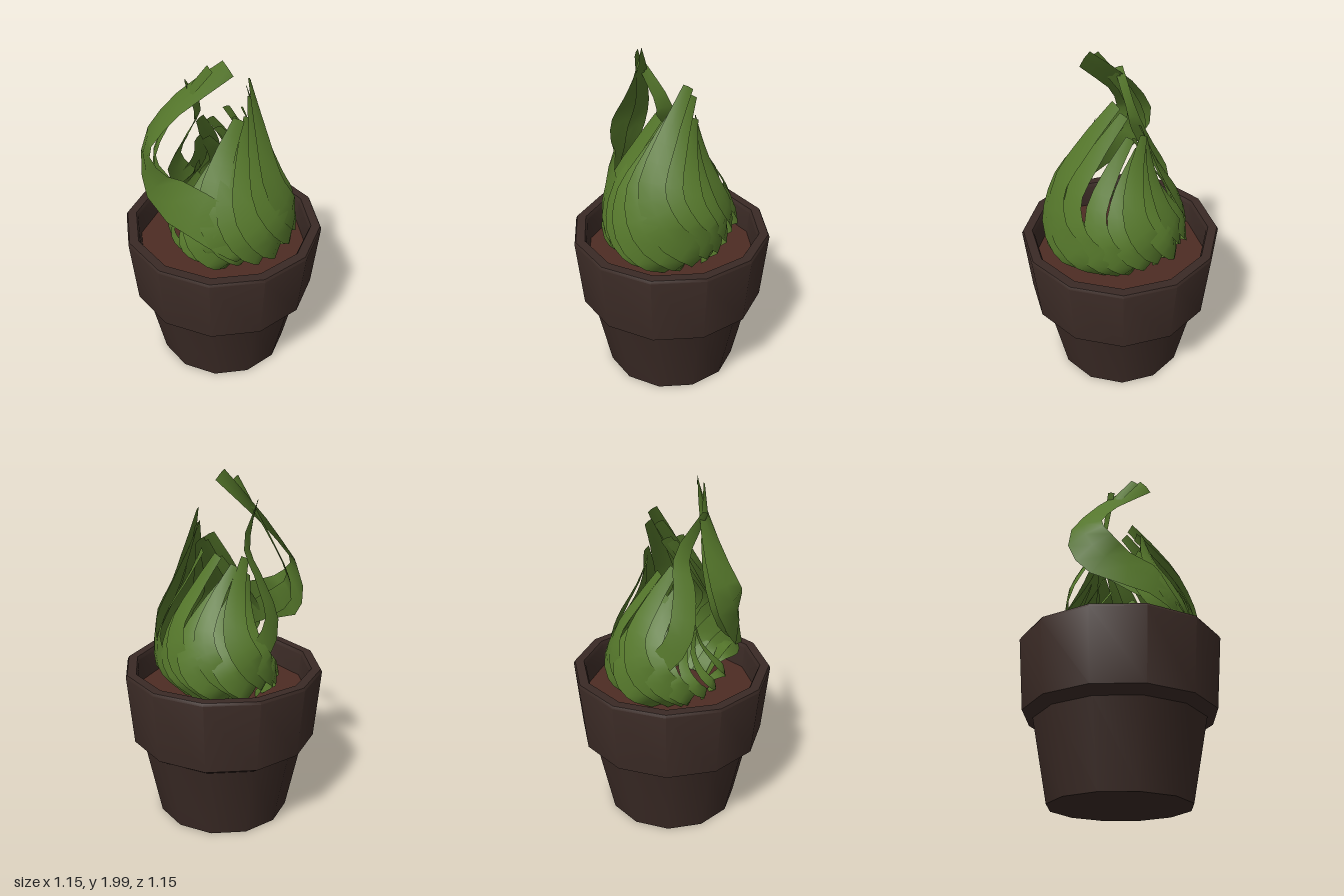
import * as THREE from 'three';
import { toCreasedNormals } from 'three/addons/utils/BufferGeometryUtils.js';

const potMat = new THREE.MeshStandardMaterial({ color: 0x3a2a25 });
const soilMat = new THREE.MeshStandardMaterial({ color: 0x4d2c23 });
const leafMat = new THREE.MeshStandardMaterial({ color: 0x55772b, side: THREE.DoubleSide });

const SOIL_Y = 0.76;

function add(parent, name, geometry, material) {
  const mesh = new THREE.Mesh(geometry, material);
  mesh.name = name;
  parent.add(mesh);
  return mesh;
}

// Ribbon along a smooth spine, its flat side facing away from the plant's axis
function ribbon(points, width) {
  const curve = new THREE.CatmullRomCurve3(points);
  const n = 14, pos = [], index = [];
  for (let i = 0; i <= n; i++) {
    const t = i / n;
    const p = curve.getPoint(t);
    const out = new THREE.Vector3(p.x, 0.12, p.z).normalize();
    const side = curve.getTangent(t).cross(out).normalize();
    // widest below the middle, narrow and blunt at the tip
    const w = width * (0.34 + 0.66 * Math.sin(Math.PI * Math.pow(t, 0.8)) ** 1.2) / 2;
    for (const k of [-1, 0, 1]) {
      const q = p.clone().addScaledVector(side, k * w);
      if (k === 0) q.addScaledVector(out, w * 0.12);
      pos.push(q.x, q.y, q.z);
    }
    if (i < n) {
      for (let k = 0; k < 2; k++) {
        const a = i * 3 + k;
        index.push(a, a + 1, a + 3, a + 1, a + 4, a + 3);
      }
    }
  }
  const g = new THREE.BufferGeometry();
  g.setAttribute('position', new THREE.Float32BufferAttribute(pos, 3));
  g.setIndex(index);
  g.computeVertexNormals();
  return g;
}

// S-shaped spine: leaves the soil, swings round the bulge, curls back over the middle
function swirl(angle, top, bulge, swing) {
  const steps = [
    [0.22, -1, 0], [bulge * 0.92, -0.6, 0.17], [bulge, 0.1, 0.34],
    [bulge * 0.86, 0.5, 0.53], [bulge * 0.55, 0.2, 0.77], [0.14, -1.1, 1],
  ];
  return steps.map(([r, s, h]) => {
    const a = THREE.MathUtils.degToRad(angle) + s * swing;
    return new THREE.Vector3(Math.cos(a) * r, SOIL_Y + (top - SOIL_Y) * h, Math.sin(a) * r);
  });
}

// angle, tip height, bulge radius, swing, width
const blades = [
  [-12, 1.80, 0.43, 0.6, 0.17],
  [2, 1.72, 0.44, 0.55, 0.16],
  [-28, 1.74, 0.40, 0.6, 0.15],
  [16, 1.62, 0.42, 0.5, 0.2],
  [30, 1.60, 0.40, 0.5, 0.2],
  [48, 1.64, 0.38, 0.5, 0.19],
  [66, 1.50, 0.38, 0.45, 0.18],
  [-48, 1.60, 0.37, 0.5, 0.14],
  [-70, 1.52, 0.35, 0.5, 0.13],
  [-88, 1.58, 0.35, 0.5, 0.15],
  [-108, 1.45, 0.37, 0.5, 0.15],
  [-125, 1.52, 0.36, 0.5, 0.13],
  [-142, 1.40, 0.37, 0.45, 0.17],
  [-158, 1.55, 0.36, 0.5, 0.16],
  [-175, 1.45, 0.35, 0.5, 0.15],
  [172, 1.30, 0.34, 0.4, 0.12],
  [95, 1.15, 0.31, 0.4, 0.07],
  [125, 1.12, 0.30, 0.4, 0.06],
  [150, 1.2, 0.32, 0.4, 0.07],
];

// Long blades reaching above the rest: width, then spine points
const tallBlades = [
  [0.27, [0.2, 0.76, 0.1], [0.33, 0.98, 0.2], [0.13, 1.17, 0.33], [-0.17, 1.27, 0.36],
    [-0.28, 1.45, 0.31], [-0.16, 1.68, 0.22], [0.13, 1.96, 0.13]],
  [0.14, [0.1, 0.76, 0.2], [0.2, 1.0, 0.33], [-0.05, 1.18, 0.32], [-0.26, 1.36, 0.27],
    [-0.2, 1.6, 0.2], [0.05, 1.95, 0.17]],
  [0.14, [-0.14, 0.76, -0.15], [-0.28, 0.97, -0.12], [-0.31, 1.2, 0.05], [-0.2, 1.42, 0.08],
    [-0.12, 1.6, 0.06], [-0.1, 1.84, 0.18]],
];

export function createModel() {
  const root = new THREE.Group();
  root.name = 'pottedPlant';

  // Twelve-sided pot with a collar and a hollow rim
  const profile = [
    [0, 0], [0.39, 0], [0.48, 0.45], [0.54, 0.49], [0.575, 0.895], [0.567, 0.91],
    [0.515, 0.91], [0.505, 0.89], [0.49, SOIL_Y - 0.03],
  ].map(([x, y]) => new THREE.Vector2(x, y));
  const pot = new THREE.LatheGeometry(profile, 12);
  add(root, 'pot', toCreasedNormals(pot, 0.56), potMat);

  // Soil
  const soil = add(root, 'soil', new THREE.CircleGeometry(0.495, 12), soilMat);
  soil.rotation.x = -Math.PI / 2;
  soil.position.y = SOIL_Y;

  // Curling leaves
  const leaves = new THREE.Group();
  leaves.name = 'leaves';
  root.add(leaves);
  for (const [angle, top, bulge, swing, width] of blades) {
    add(leaves, 'leaf', ribbon(swirl(angle, top, bulge, swing), width), leafMat);
  }
  for (const [width, ...points] of tallBlades) {
    add(leaves, 'tallLeaf', ribbon(points.map((p) => new THREE.Vector3(...p)), width), leafMat);
  }
  return root;
}
